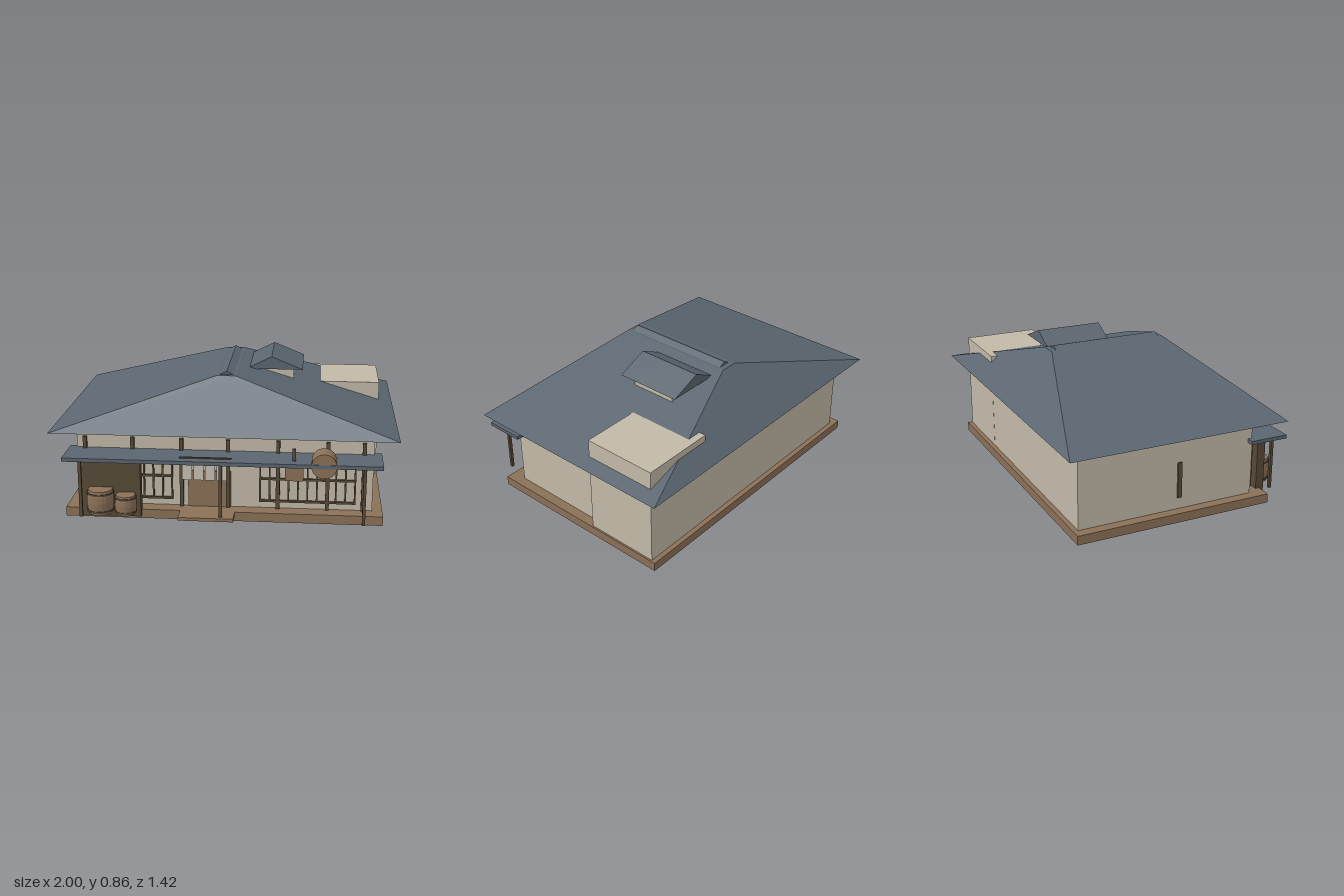
import * as THREE from 'three';

const mat = (name, color) => {
  const m = new THREE.MeshStandardMaterial({ color });
  m.name = name;
  return m;
};

export function createModel() {
  const root = new THREE.Group();
  root.name = 'house';
  const plaster = mat('plaster', 0xc2b9a8);
  const slate = mat('slate', 0x5b6670);
  const wood = mat('wood', 0x8b7057);
  const darkWood = mat('dark wood', 0x574a37);
  const cloth = mat('cloth', 0xc6c0b4);

  const add = (name, geometry, material, parent = root) => {
    const mesh = new THREE.Mesh(geometry, material);
    mesh.name = name;
    parent.add(mesh);
    return mesh;
  };
  // Box given by its limits on each axis
  const box = (name, x0, x1, y0, y1, z0, z1, material, parent) => {
    const m = add(name, new THREE.BoxGeometry(x1 - x0, y1 - y0, z1 - z0), material, parent);
    m.position.set((x0 + x1) / 2, (y0 + y1) / 2, (z0 + z1) / 2);
    return m;
  };
  // Box whose upper corners are moved to a smaller rectangle
  const taper = (name, bottom, top, y0, y1, material) => {
    const g = new THREE.BoxGeometry(1, 1, 1);
    const p = g.attributes.position;
    for (let i = 0; i < p.count; i++) {
      const up = p.getY(i) > 0;
      const [x0, x1, z0, z1] = up ? top : bottom;
      p.setXYZ(i, p.getX(i) < 0 ? x0 : x1, up ? y1 : y0, p.getZ(i) < 0 ? z0 : z1);
    }
    const flat = g.toNonIndexed();
    flat.computeVertexNormals();
    return add(name, flat, material);
  };
  // Triangular prism with its ridge along z
  const gable = (name, x0, xm, x1, y0, y1, z0, z1) => {
    const s = new THREE.Shape([
      new THREE.Vector2(x0, y0), new THREE.Vector2(x1, y0), new THREE.Vector2(xm, y1)]);
    const g = new THREE.ExtrudeGeometry(s, { depth: z1 - z0, bevelEnabled: false });
    g.translate(0, 0, z0);
    return add(name, g, slate);
  };

  // Platform and walls
  box('foundation', -0.925, 0.925, 0, 0.055, -0.64, 0.575, wood);
  box('walls', -0.865, 0.865, 0.055, 0.51, -0.61, 0.485, plaster);
  box('rearStoreroom', 0.46, 0.915, 0.055, 0.66, -0.611, -0.155, plaster);
  box('sideWindowBar', -0.876, -0.86, 0.125, 0.34, 0, 0.025, darkWood);

  // Hipped main roof, ridge cap and roof vent
  taper('mainRoof', [-1, 1, -0.71, 0.635], [-0.055, 0.055, -0.41, 0.335], 0.525, 0.81, slate);
  gable('ridgeCap', -0.045, 0, 0.045, 0.808, 0.83, -0.375, 0.31);
  box('ventBase', 0.125, 0.385, 0.66, 0.78, -0.305, -0.02, plaster);
  gable('ventRoof', 0.095, 0.25, 0.44, 0.78, 0.857, -0.37, 0.038);

  // Porch canopy with front posts and wall posts
  box('canopy', -0.91, 0.91, 0.378, 0.4, 0.458, 0.693, slate);
  for (const x of [-0.815, -0.005, 0.81])
    box('canopyPost', x - 0.009, x + 0.009, 0.035, 0.379, 0.65, 0.667, darkWood);
  for (const x of [-0.815, -0.535, -0.248, 0.025, 0.315, 0.603, 0.81])
    box('wallPost', x - 0.011, x + 0.011, 0.055, 0.47, 0.484, 0.505, darkWood);

  // Lattice windows
  const lattice = (x0, x1) => {
    const g = new THREE.Group();
    g.name = 'latticeWindow';
    root.add(g);
    for (let i = 0; i <= 10; i++) {
      const x = x0 + (x1 - x0) * i / 10;
      box('latticeBar', x - 0.005, x + 0.005, 0.1, 0.37, 0.484, 0.496, darkWood, g);
    }
    for (const y of [0.1, 0.237, 0.37])
      box('latticeRail', x0 - 0.005, x1 + 0.005, y - 0.006, y + 0.006, 0.484, 0.498, darkWood, g);
  };
  lattice(0.212, 0.763);
  lattice(-0.857, -0.306);

  // Entrance: door, step, split curtain and its rod
  box('door', -0.21, 0.04, 0.055, 0.275, 0.484, 0.497, wood);
  box('step', -0.25, 0.07, 0.037, 0.056, 0.575, 0.685, wood);
  for (let i = 0; i < 4; i++) {
    const x = -0.225 + i * 0.066;
    box('curtainStrip', x, x + 0.056, 0.272, 0.395, 0.636, 0.643, cloth);
  }
  box('curtainRod', -0.243, 0.055, 0.394, 0.407, 0.628, 0.64, darkWood);

  // Dark screen at the right end of the porch
  box('screen', -0.833, -0.475, 0.02, 0.346, 0.55, 0.602, darkWood);

  // Upright barrels with hoops
  const barrel = (x, z, y0, y1, r) => {
    const g = new THREE.Group();
    g.name = 'barrel';
    g.position.set(x, y0, z);
    root.add(g);
    const h = y1 - y0;
    const profile = [[0, 0], [0.88, 0], [0.97, 0.25], [1, 0.5], [0.97, 0.75], [0.88, 1], [0, 1]]
      .map(([a, b]) => new THREE.Vector2(a * r, b * h));
    const staves = new THREE.LatheGeometry(profile, 20).toNonIndexed();
    staves.computeVertexNormals();
    add('staves', staves, wood, g);
    for (const t of [0.14, 0.86]) {
      const hoop = add('hoop', new THREE.CylinderGeometry(r * 0.98, r * 0.98, 0.01, 20), darkWood, g);
      hoop.position.y = h * t;
    }
  };
  barrel(-0.706, 0.628, 0.055, 0.198, 0.08);
  barrel(-0.557, 0.638, 0.055, 0.17, 0.064);

  // Hanging sign board and the cask lying through the canopy
  box('signHanger', 0.4, 0.42, 0.36, 0.47, 0.617, 0.635, darkWood);
  box('signBoard', 0.36, 0.464, 0.278, 0.385, 0.618, 0.63, wood);
  const cask = add('lyingCask', new THREE.CylinderGeometry(0.072, 0.072, 0.115, 24), wood);
  cask.rotation.x = Math.PI / 2;
  cask.position.set(0.58, 0.39, 0.633);

  return root;
}
